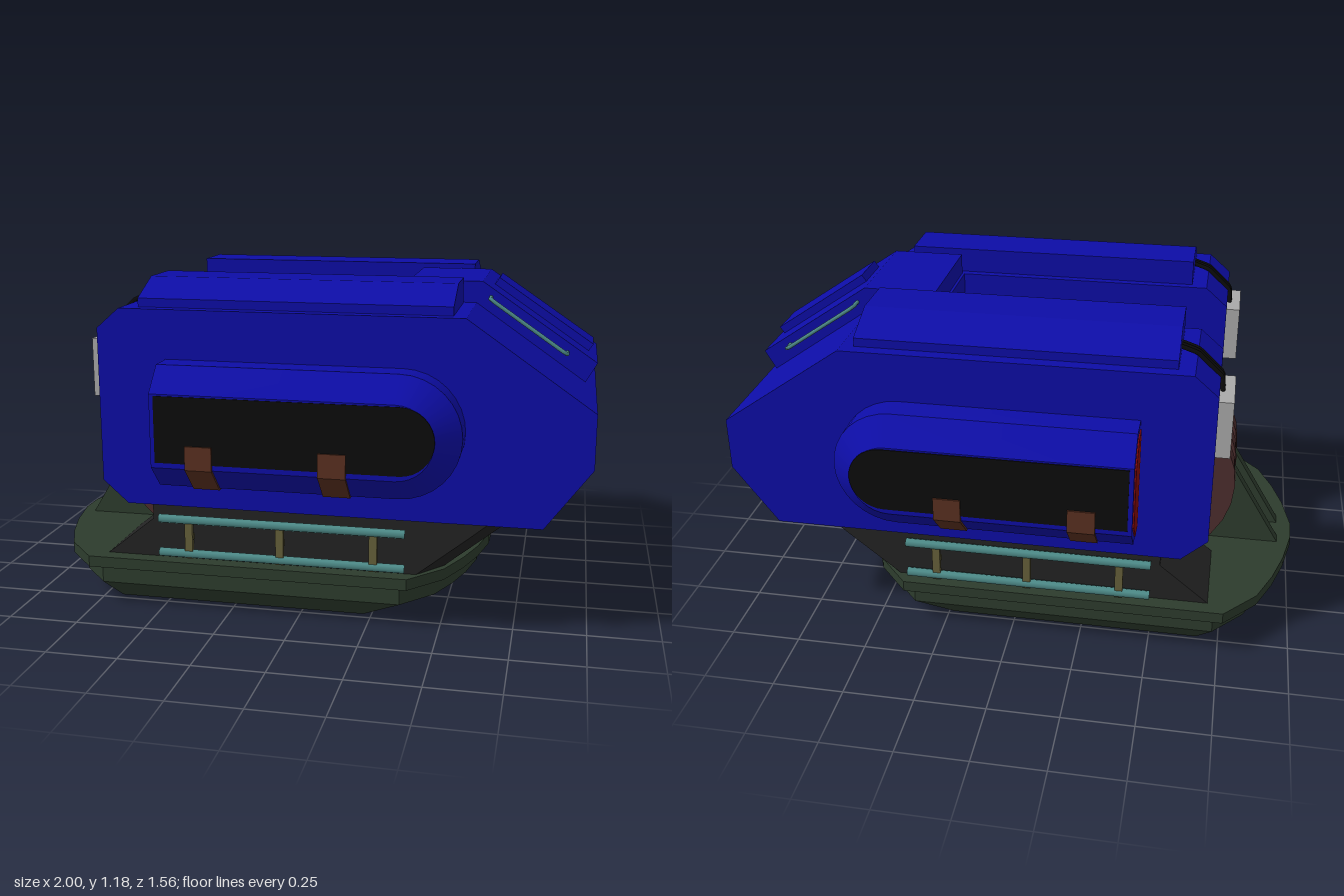
import * as THREE from 'three';
import { toCreasedNormals } from 'three/addons/utils/BufferGeometryUtils.js';

const mat = (name, color) => { const m = new THREE.MeshStandardMaterial({ color }); m.name = name; return m; };

// Lofts matching 2D rings [points, level] in order of rising level; "axis" is the direction of the level.
function loft(rings, axis = 'z') {
  const flip = THREE.ShapeUtils.isClockWise(rings[0][0].map(([u, v]) => new THREE.Vector2(u, v)));
  const pos = [], index = [], n = rings[0][0].length;
  const place = {
    x: (u, v, t) => [t, v, -u],
    y: (u, v, t) => [u, t, -v],
    z: (u, v, t) => [u, v, t],
  }[axis];
  const loops = rings.map(([pts]) => (flip ? [...pts].reverse() : pts));
  loops.forEach((pts, r) => pts.forEach(([u, v]) => pos.push(...place(u, v, rings[r][1]))));
  for (let r = 0; r < rings.length - 1; r++) {
    for (let i = 0; i < n; i++) {
      const j = (i + 1) % n, a = r * n, b = a + n;
      index.push(a + i, a + j, b + j, a + i, b + j, b + i);
    }
  }
  const cap = (r, back) => {
    const pts = loops[r].map(([u, v]) => new THREE.Vector2(u, v)), o = r * n;
    for (const [a, b, c] of THREE.ShapeUtils.triangulateShape(pts, [])) {
      if (back) index.push(o + a, o + c, o + b); else index.push(o + a, o + b, o + c);
    }
  };
  cap(0, true);
  cap(rings.length - 1, false);
  const g = new THREE.BufferGeometry();
  g.setAttribute('position', new THREE.Float32BufferAttribute(pos, 3));
  g.setIndex(index);
  return toCreasedNormals(g, 0.4);
}

const prism = (pts, t0, t1, axis) => loft([[pts, t0], [pts, t1]], axis);

const box = (x0, x1, y0, y1, z0, z1) =>
  new THREE.BoxGeometry(x1 - x0, y1 - y0, z1 - z0).translate((x0 + x1) / 2, (y0 + y1) / 2, (z0 + z1) / 2);

// Reflected copy across z = 0, with corner order put right again
function mirrorZ(geo) {
  const g = geo.index ? geo.toNonIndexed() : geo.clone();
  for (const key of ['position', 'normal']) {
    const a = g.attributes[key];
    for (let i = 0; i < a.count; i += 3) {
      const t = [0, 1, 2].map(k => [a.getX(i + k), a.getY(i + k), -a.getZ(i + k)]);
      a.setXYZ(i, ...t[0]);
      a.setXYZ(i + 1, ...t[2]);
      a.setXYZ(i + 2, ...t[1]);
    }
  }
  return g;
}

function rod(points, r) {
  const path = new THREE.CurvePath();
  for (let i = 1; i < points.length; i++) {
    path.add(new THREE.LineCurve3(new THREE.Vector3(...points[i - 1]), new THREE.Vector3(...points[i])));
  }
  return new THREE.TubeGeometry(path, (points.length - 1) * 6, r, 8, false);
}

// Plan of the hull: straight sides with curved bow and stern
function plan(x0, x1, w) {
  const k = w / 0.595;
  const end = [[0.24, 1], [0.125, 0.78], [0.07, 0.56], [0.03, 0.34], [0, 0.08]];
  const half = [...end.map(([d, s]) => [x1 - d * k, -s * w]), ...end.map(([d, s]) => [x1 - d * k, s * w]).reverse()];
  const rear = [...end.map(([d, s]) => [x0 + d * k, s * w]), ...end.map(([d, s]) => [x0 + d * k, -s * w]).reverse()];
  return [...half, ...rear];
}

// Plan of the pedestal: rounded front, open slot at the rear
function pedestalPlan(rear, inner, corner) {
  const front = [[0, 0.54], [0.085, 0.43], [0.135, 0.26], [0.16, 0.08]];
  return [
    [rear, -0.54], ...front.map(([d, z]) => [corner + d, -z]),
    ...front.map(([d, z]) => [corner + d, z]).reverse(),
    [rear, 0.54], [rear, 0.2], [inner, 0.2], [inner, -0.2], [rear, -0.2],
  ];
}

// Side outline with a square rear and a half-round front
function bullet(x0, xc, yc, r) {
  const pts = [[x0, yc + r], [x0, yc - r]];
  for (let i = 0; i <= 16; i++) {
    const a = -Math.PI / 2 + (i / 16) * Math.PI;
    pts.push([xc + r * Math.cos(a), yc + r * Math.sin(a)]);
  }
  return pts;
}

export function createModel() {
  const blue = mat('blue paint', 0x0d0da6), black = mat('black glass', 0x0b0b0b);
  const charcoal = mat('charcoal', 0x232323), green = mat('dark green', 0x2d3c2d);
  const maroon = mat('maroon', 0x4c2d2d), brown = mat('brown strap', 0x5a3020);
  const red = mat('red', 0x860808), grey = mat('light grey', 0xaaaaaa);
  const teal = mat('teal rail', 0x4d8a88), olive = mat('olive post', 0x66603a);

  const model = new THREE.Group();
  const add = (name, geo, m) => {
    const mesh = new THREE.Mesh(geo, m);
    mesh.name = name;
    model.add(mesh);
  };
  const pair = (name, geo, m) => {
    add(name + 'Left', geo, m);
    add(name + 'Right', mirrorZ(geo), m);
  };

  // Hull, rim and pedestal
  add('hull', loft([
    [plan(-0.83, 0.37, 0.465), 0], [plan(-0.875, 0.43, 0.505), 0.015],
    [plan(-0.95, 0.585, 0.555), 0.08], [plan(-0.95, 0.585, 0.555), 0.15],
  ], 'y'), green);
  add('hullRim', prism(plan(-1, 0.63, 0.595), 0.15, 0.19, 'y'), green);
  add('pedestal', loft([
    [pedestalPlan(-0.71, 0.12, 0.41), 0.185], [pedestalPlan(-0.53, 0.25, 0.59), 0.33],
    [pedestalPlan(-0.53, 0.31, 0.68), 0.405],
  ], 'y'), charcoal);

  // Upper body: two side halves joined by a centre block at the front
  pair('sideBody', prism([
    [-0.6, 0.4], [0.84, 0.4], [0.995, 0.61], [0.995, 0.795], [0.57, 1.09],
    [-0.61, 1.09], [-0.69, 1.02], [-0.69, 0.48],
  ], 0.2, 0.595), blue);
  add('centreBody', prism([
    [0.32, 0.4], [0.84, 0.4], [0.995, 0.61], [0.995, 0.795], [0.57, 1.09], [0.32, 1.09],
  ], -0.2, 0.2), blue);
  add('frontCowl', prism([
    [0.33, 1], [0.5, 1], [0.955, 0.82], [0.995, 0.89], [0.59, 1.165], [0.33, 1.165],
  ], -0.207, 0.207), blue);
  add('frontHatch', prism([[0.615, 1.13], [0.955, 0.9], [0.98, 0.935], [0.64, 1.165]], -0.08, 0.08), blue);
  pair('topLid', prism([[0.23, 1.08], [0.55, 1.08], [0.55, 1.12], [0.41, 1.18], [0.23, 1.18]]
    .map(([z, y]) => [-z, y]), -0.555, 0.525, 'x'), blue);
  pair('handle', rod([[0.62, 1.11, 0.2], [0.62, 1.11, 0.255], [0.89, 0.925, 0.255], [0.89, 0.925, 0.2]], 0.007), teal);

  // Side pods with window, rear lamp and straps
  pair('sidePod', loft([
    [bullet(-0.445, 0.37, 0.712, 0.208), 0.59], [bullet(-0.445, 0.37, 0.712, 0.208), 0.69],
    [bullet(-0.445, 0.37, 0.712, 0.125), 0.772],
  ]), blue);
  pair('podWindow', prism(bullet(-0.43, 0.385, 0.718, 0.113), 0.77, 0.775), black);
  pair('podLamp', prism([
    [0.61, 0.53], [0.68, 0.53], [0.752, 0.605], [0.752, 0.82], [0.68, 0.895], [0.61, 0.895],
  ].map(([z, y]) => [-z, y]), -0.45, -0.444, 'x'), red);
  const strap = [
    [0.595, 0.506], [0.69, 0.506], [0.771, 0.59], [0.771, 0.667],
    [0.781, 0.667], [0.781, 0.586], [0.694, 0.498], [0.595, 0.498],
  ].map(([z, y]) => [-z, y]);
  for (const x of [-0.325, 0.122]) pair('strap', prism(strap, x, x + 0.092, 'x'), brown);

  // Rear boxes and cables
  pair('rearBox', box(-0.74, -0.685, 0.765, 0.97, 0.305, 0.52), grey);
  for (const z of [0.388, 0.408, 0.428]) {
    pair('cable', rod([[-0.7, 0.96, z], [-0.695, 1.02, z], [-0.61, 1.1, z], [-0.55, 1.12, z]], 0.008), black);
  }

  // Rear wheels with fins between them
  for (const z of [-0.145, 0, 0.145]) {
    add('wheel', toCreasedNormals(new THREE.CylinderGeometry(0.343, 0.343, 0.08, 28)
      .rotateX(Math.PI / 2).translate(-0.428, 0.47, z), 0.4), maroon);
  }
  pair('rearFin', prism([[-0.95, 0.185], [-0.13, 0.185], [-0.13, 0.63], [-0.68, 0.63]], 0.045, 0.095), green);

  // Side railings
  for (const y of [0.215, 0.34]) pair('rail', rod([[-0.5, y, 0.562], [0.38, y, 0.562]], 0.016), teal);
  for (const x of [-0.39, -0.06, 0.27]) {
    pair('railPost', box(x - 0.014, x + 0.014, 0.2, 0.35, 0.557, 0.572), olive);
    pair('railBracket', box(x - 0.012, x + 0.012, 0.265, 0.285, 0.53, 0.56), olive);
  }
  return model;
}
